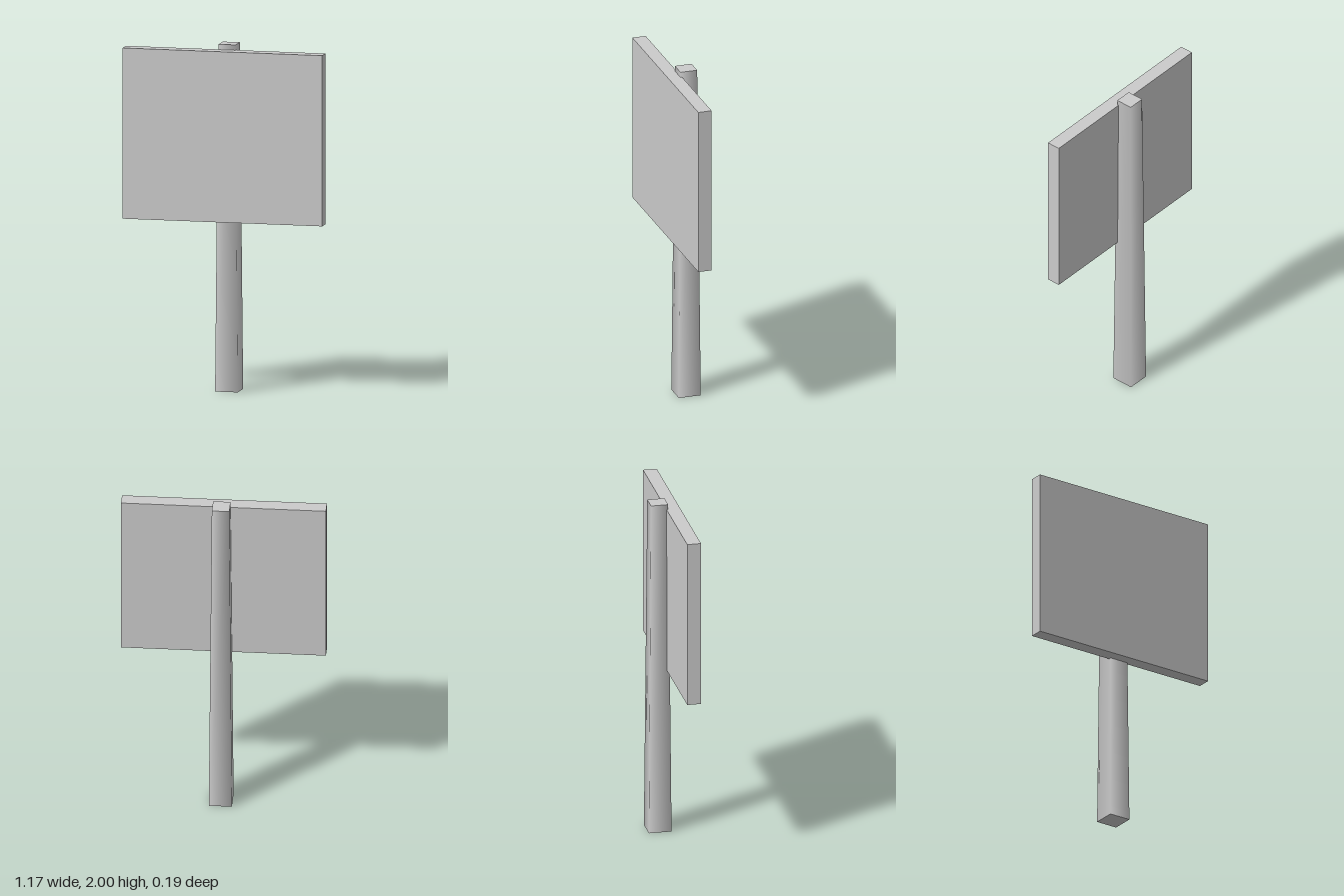
import * as THREE from 'three';

export function createModel() {
  const group = new THREE.Group();
  const material = new THREE.MeshStandardMaterial({ color: 0xcccccc });

  // Tapered four-sided post with smooth-shaded sides, square to the board
  const halfTop = 0.05, halfBottom = 0.066, height = 2;
  const post = new THREE.Mesh(
    new THREE.CylinderGeometry(halfTop * Math.SQRT2, halfBottom * Math.SQRT2, height, 4, 1, false, Math.PI / 4),
    material
  );
  post.name = 'post';
  post.position.set(0.01, height / 2, -0.028);
  group.add(post);

  // Flat sign board fixed to the front of the post
  const board = new THREE.Mesh(new THREE.BoxGeometry(1.17, 0.984, 0.08), material);
  board.name = 'signBoard';
  board.position.set(0, 1.477, 0.053);
  group.add(board);

  return group;
}
